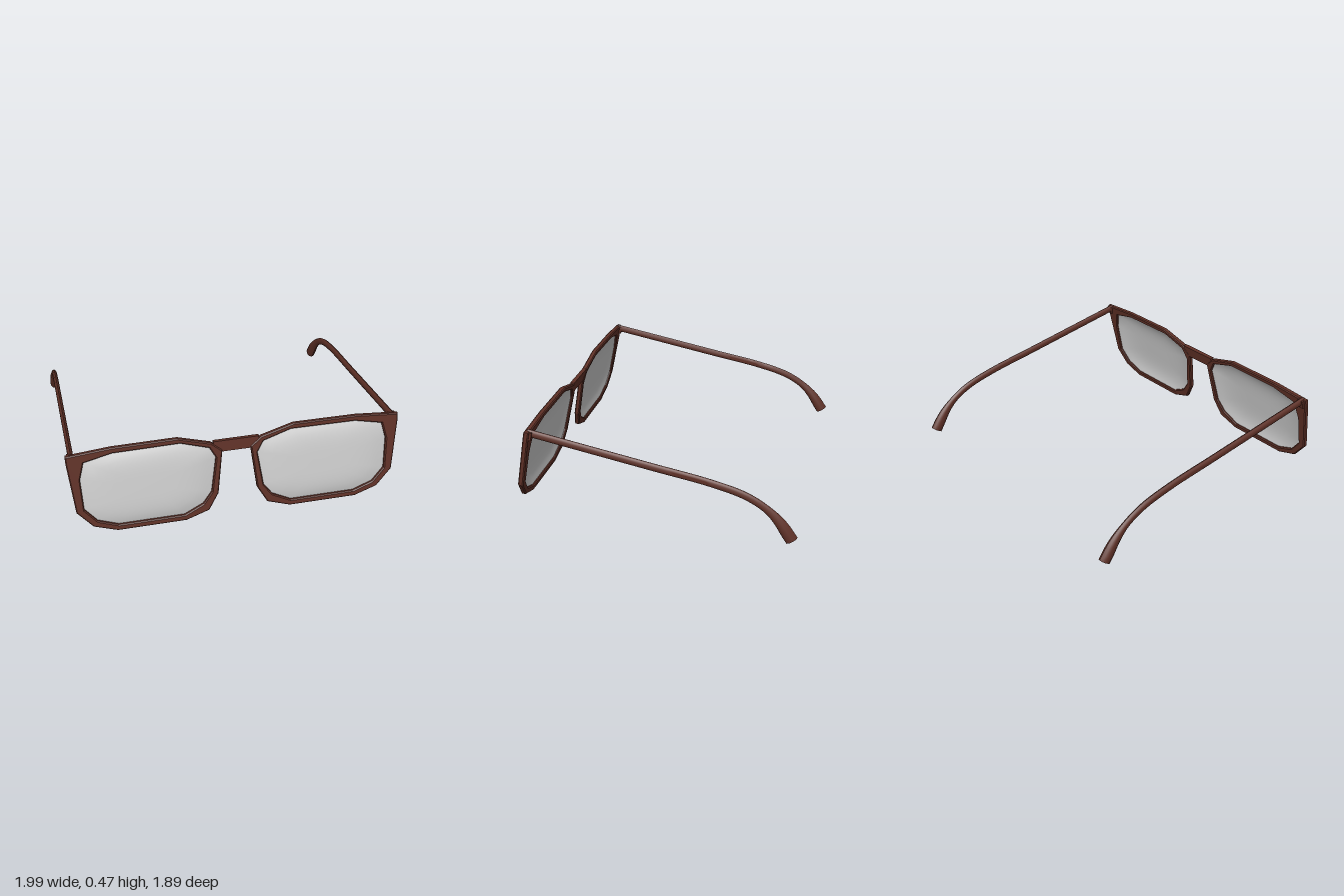
import * as THREE from 'three';
import { toCreasedNormals } from 'three/addons/utils/BufferGeometryUtils.js';

const brown = new THREE.MeshStandardMaterial({ color: 0x5e3026 });
const brownFlat = new THREE.MeshStandardMaterial({ color: 0x5e3026, flatShading: true });
const glass = new THREE.MeshStandardMaterial({ color: 0xcccccc, side: THREE.DoubleSide });

// Outline and opening of the rim on the +x side, counter-clockwise from the hinge corner
const OUTER = [[.795, .006], [.585, .023], [.277, .025], [.12, -.02], [.068, -.065], [.095, -.29],
  [.143, -.375], [.255, -.413], [.585, -.413], [.697, -.375], [.77, -.29], [.795, -.03]];
const INNER = [[.715, -.035], [.58, -.005], [.265, -.002], [.13, -.045], [.1, -.1], [.127, -.28],
  [.17, -.338], [.262, -.384], [.578, -.384], [.675, -.348], [.732, -.28], [.738, -.12]];

// Mirrored outlines are reversed so that the winding stays the same
function outline(points, side) {
  const list = points.map(([x, y]) => new THREE.Vector2(x * side, y));
  return side < 0 ? list.reverse() : list;
}

function add(parent, name, geometry, material, x = 0, y = 0, z = 0) {
  const mesh = new THREE.Mesh(geometry, material);
  mesh.name = name;
  mesh.position.set(x, y, z);
  parent.add(mesh);
}

function rimGeometry(side) {
  const shape = new THREE.Shape(outline(OUTER, side));
  shape.holes.push(new THREE.Path(outline(INNER, side)));
  const b = 0.005;
  return new THREE.ExtrudeGeometry(shape, {
    depth: 0.026 - 2 * b, bevelThickness: b, bevelSize: b, bevelOffset: -b, bevelSegments: 1,
  }).translate(0, 0, b - 0.015);
}

// Shallow dome: rings of the opening shrinking towards the centre
function lensGeometry(side) {
  const edge = outline(INNER, side);
  const n = edge.length, rings = 8;
  const c = new THREE.Vector2(0.42 * side, -0.19);
  const pos = [], index = [];
  for (let r = 0; r <= rings; r++) {
    const k = 1 - r / rings;
    for (const p of edge) {
      const q = p.clone().sub(c).multiplyScalar(k * 1.02).add(c);
      pos.push(q.x, q.y, -0.006 + 0.024 * (1 - k ** 4));
    }
  }
  for (let r = 0; r < rings; r++) {
    for (let i = 0; i < n; i++) {
      const a = r * n + i, b = r * n + (i + 1) % n;
      index.push(a, b, b + n);
      if (r < rings - 1) index.push(a, b + n, a + n);
    }
  }
  const geo = new THREE.BufferGeometry();
  geo.setAttribute('position', new THREE.Float32BufferAttribute(pos, 3));
  geo.setIndex(index);
  geo.computeVertexNormals();
  return geo;
}

// Temple arm: oval tube that swells towards the ear tip, first and last rings close the ends
function templeGeometry(side) {
  const x = 0.768 * side, seg = 48, sides = 10;
  const path = new THREE.CatmullRomCurve3([[-.005, 0], [-.005, -.3], [-.005, -.6], [-.005, -.88],
    [-.02, -1.04], [-.053, -1.14], [-.1, -1.215], [-.178, -1.295]]
    .map(([y, z]) => new THREE.Vector3(x, y, z)));
  const geo = new THREE.TubeGeometry(path, seg, 1, sides);
  const p = geo.attributes.position, v = new THREE.Vector3();
  for (let i = 0; i < p.count; i++) {
    const ring = Math.floor(i / (sides + 1));
    v.fromBufferAttribute(p, i).sub(path.getPointAt(ring / seg));
    const u = THREE.MathUtils.clamp((ring - 1) / (seg - 2), 0, 1);
    const swell = THREE.MathUtils.smoothstep(u, 0.84, 0.98);
    const tall = 0.019 + 0.012 * swell;
    v.multiply(new THREE.Vector3(0.013 + 0.01 * swell, tall, tall));
    if (ring === 0 || ring === seg) v.set(0, 0, 0);
    v.add(path.getPointAt(u));
    p.setXYZ(i, v.x, v.y, v.z);
  }
  return toCreasedNormals(geo, 0.8);
}

export function createModel() {
  const model = new THREE.Group();
  model.name = 'glasses';

  // Turned aside and resting on the ear tips, so the front leans
  const body = new THREE.Group();
  body.name = 'spectacles';
  body.rotation.order = 'YXZ';
  body.rotation.set(-0.195, -0.484, 0);
  body.position.set(-0.283, 0.43, 0.53);
  model.add(body);

  for (const [side, label] of [[1, 'left'], [-1, 'right']]) {
    add(body, label + 'Rim', rimGeometry(side), brownFlat);
    add(body, label + 'Lens', lensGeometry(side), glass);
    add(body, label + 'Hinge', new THREE.BoxGeometry(0.03, 0.04, 0.02), brownFlat,
      0.772 * side, -0.014, -0.016);
    add(body, label + 'Temple', templeGeometry(side), brown);
  }

  // Bridge between the rims
  add(body, 'bridge', new THREE.BoxGeometry(0.22, 0.056, 0.02), brownFlat, 0, -0.045, -0.004);
  return model;
}
